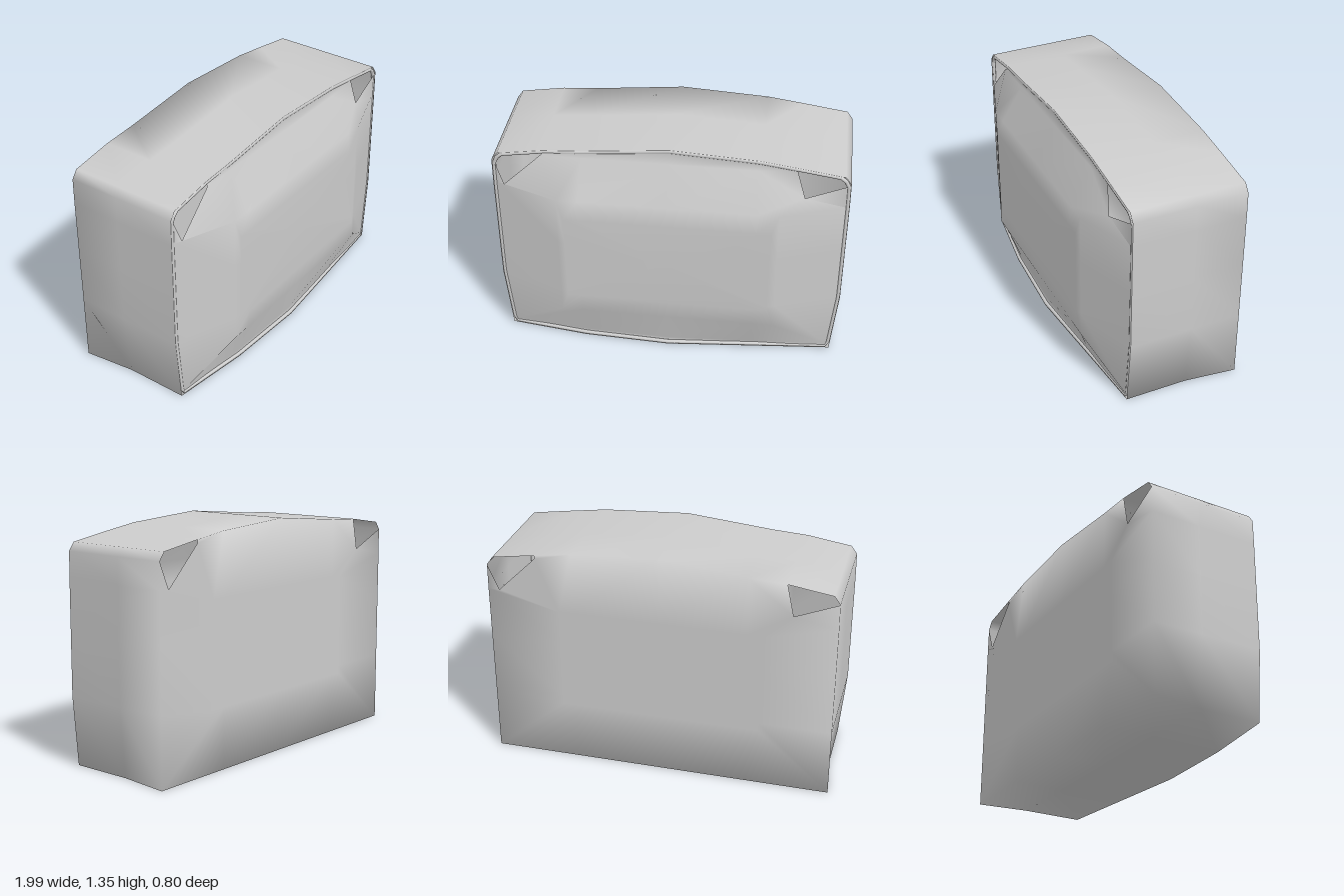
import * as THREE from 'three';
import { mergeVertices } from 'three/addons/utils/BufferGeometryUtils.js';

const clamp = THREE.MathUtils.clamp;

// Half outline of the casing from bottom centre, up the side, to top centre.
const HALF = [
  [0, 0], [0.5, 0], [0.96, 0], [0.996, 0.4], [0.996, 0.75], [0.996, 1.05],
  [0.994, 1.2], [0.96, 1.247], [0.71, 1.285], [0.5, 1.315], [0, 1.345],
];
// The top slopes straight on the right and bends once on the left.
const mirrored = HALF.slice(1, -1).reverse()
  .map(([x, y]) => [-x, x === 0.5 && y > 1 ? 1.298 : y]);
const OUTLINE = [...HALF, ...mirrored];
const N = OUTLINE.length;

const ring = (rule) => OUTLINE.map(([x, y], i) => rule(x, y, i));

// Upper corner points, the same on either side of the outline.
const isCorner = (i) => {
  const k = Math.min(i, N - i);
  return k >= 6 && k <= 8;
};

// Edge of the corner openings: a plain cut on one side, a deeper notch on the other.
function notch(x, i, deepSide) {
  const s = Math.sign(x);
  if (s === deepSide) return [s * 0.75, 1.1];
  return Math.min(i, N - i) === 8 ? [s * 0.71, 1.265] : [s * 0.93, 1.05];
}

// Joins rings of points, front to back, into one smooth skin.
// The upper corners stay open after the ring numbered openAt.
function skin(rings, openAt) {
  const index = [];
  for (let r = 0; r < rings.length - 1; r++) {
    for (let i = 0; i < N; i++) {
      const j = (i + 1) % N;
      if (r === openAt && isCorner(i) && isCorner(j)) continue;
      const a = r * N + i, b = r * N + j, c = a + N, d = b + N;
      index.push(a, c, b, b, c, d);
    }
  }
  const geo = new THREE.BufferGeometry();
  geo.setAttribute('position', new THREE.Float32BufferAttribute(rings.flat(2), 3));
  geo.setIndex(index);
  const merged = mergeVertices(geo, 1e-4);
  merged.computeVertexNormals();
  return merged;
}

// Front edge: straight on top and sides, bowed forward along the bottom.
function frontZ(x, y, bow) {
  if (y > 0.01) return 0.265;
  return 0.265 + bow * (x <= 0 ? 1 - (x / 0.96) ** 2 : 1 - x / 0.96);
}

export function createModel() {
  const group = new THREE.Group();
  const add = (name, geo, side) => {
    const mesh = new THREE.Mesh(geo, new THREE.MeshStandardMaterial({ color: 0xcccccc, side }));
    mesh.name = name;
    group.add(mesh);
  };

  // Casing: straight walls that flare at the lower back, and a flat soft back.
  const backX = (x) => (Math.abs(x) > 0.9 ? Math.sign(x) * Math.max(Math.abs(x), 0.996) : x);
  add('casing', skin([
    ring((x, y) => [x, y, frontZ(x, y, 0.085)]),
    ring((x, y) => [x, y, -0.1]),
    ring((x, y, i) => [isCorner(i) ? x : backX(x), y, -0.4]),
    ring((x, y, i) => [...(isCorner(i) ? notch(x, i, -1) : [backX(x), y]), -0.4]),
    ring((x, y) => [clamp(x, -0.58, 0.58), clamp(y, 0.35, 0.95), -0.4]),
    ring(() => [0, 0.66, -0.4]),
  ], 2), THREE.DoubleSide);

  // Thin rounded rim around the front.
  const rimPath = new THREE.CurvePath();
  const rimPoints = OUTLINE.map(([x, y]) => new THREE.Vector3(
    x * 0.988, 0.012 + y * 0.982, frontZ(x, y, 0.085) - 0.008));
  rimPoints.forEach((p, i) => rimPath.add(new THREE.LineCurve3(p, rimPoints[(i + 1) % N])));
  add('rim', new THREE.TubeGeometry(rimPath, 160, 0.012, 8, true), THREE.FrontSide);

  // Bulging front panel, open at its upper corners.
  add('frontPanel', skin([
    ring(() => [0, 0.65, 0.398]),
    ring((x, y) => [clamp(x, -0.58, 0.58), clamp(y, 0.37, 0.92), 0.398]),
    ring((x, y) => [clamp(x, -0.62, 0.62), clamp(y, 0.25, 1.04), 0.387]),
    ring((x, y, i) => (isCorner(i)
      ? [...notch(x, i, 1), 0.28]
      : [x * 0.975, clamp(y, 0.03, 1.25), frontZ(x, y, 0.06)])),
    ring((x, y) => [x * 0.985, 0.012 + y * 0.98, frontZ(x, y, 0.08)]),
  ], 3), THREE.DoubleSide);

  return group;
}
